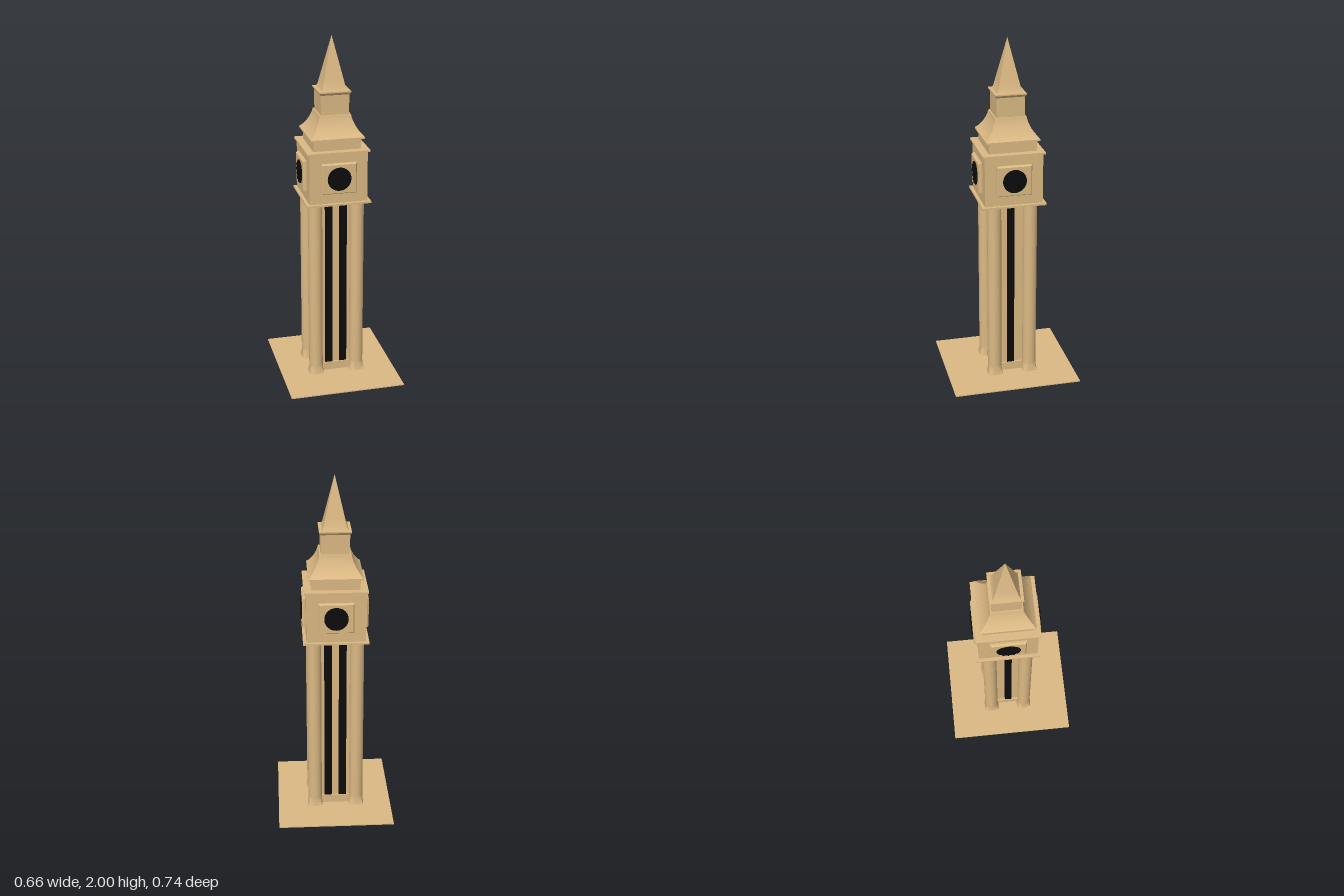
import * as THREE from 'three';
import { toCreasedNormals } from 'three/addons/utils/BufferGeometryUtils.js';

const stone = new THREE.MeshStandardMaterial({ color: 0xdab883 });
const black = new THREE.MeshStandardMaterial({ color: 0x0c0c0c });

function add(parent, name, geometry, material, x = 0, y = 0, z = 0) {
  const mesh = new THREE.Mesh(geometry, material);
  mesh.name = name;
  mesh.position.set(x, y, z);
  parent.add(mesh);
  return mesh;
}

// Box given by half sizes in x and z and by its bottom and top
function block(parent, name, hx, hz, y0, y1, material = stone, x = 0, z = 0) {
  return add(parent, name, new THREE.BoxGeometry(hx * 2, y1 - y0, hz * 2), material, x, (y0 + y1) / 2, z);
}

// Square solid from [half width, y] pairs, listed upwards
function squareSolid(profile) {
  const points = profile.map(([h, y]) => new THREE.Vector2(h * Math.SQRT2, y));
  return toCreasedNormals(new THREE.LatheGeometry(points, 4, Math.PI / 4), 0.5);
}

// Foot that flares from a round column to a square bottom
function footGeometry(radius, half, height) {
  const g = new THREE.CylinderGeometry(radius, radius, height, 32, 8);
  g.translate(0, height / 2, 0);
  const p = g.attributes.position;
  for (let i = 0; i < p.count; i++) {
    const x = p.getX(i), z = p.getZ(i);
    const r = Math.hypot(x, z);
    if (r < 1e-6) continue;
    const t = (1 - p.getY(i) / height) ** 1.5;
    const square = half / Math.max(Math.abs(x), Math.abs(z));
    const s = THREE.MathUtils.lerp(1, square, t);
    p.setX(i, x * s);
    p.setZ(i, z * s);
  }
  return toCreasedNormals(g, 0.6);
}

// Clock face with a bevelled panel, built facing +z
function createClock() {
  const clock = new THREE.Group();
  clock.name = 'clock';
  const panel = squareSolid([[0, 0], [0.1, 0], [0.1, 0.012], [0.093, 0.022], [0, 0.022]]);
  panel.scale(1, 1, 0.88);
  add(clock, 'clockPanel', panel, stone, 0, 0, 0.163).rotation.x = Math.PI / 2;
  const dial = new THREE.CylinderGeometry(0.067, 0.067, 0.006, 40);
  add(clock, 'clockDial', dial, black, 0, 0, 0.185).rotation.x = Math.PI / 2;
  for (let i = 0; i < 12; i++) {
    const a = (i * Math.PI) / 6;
    const mark = new THREE.BoxGeometry(0.01, 0.016, 0.006);
    add(clock, 'hourMark', mark, black, Math.sin(a) * 0.053, Math.cos(a) * 0.053, 0.19).rotation.z = -a;
  }
  for (const [length, angle] of [[0.03, -1], [0.044, 0.5]]) {
    const hand = new THREE.BoxGeometry(0.006, length, 0.005);
    hand.translate(0, length / 2, 0);
    add(clock, 'clockHand', hand, black, 0, 0, 0.19).rotation.z = angle;
  }
  return clock;
}

export function createModel() {
  const model = new THREE.Group();
  model.name = 'clockTower';
  block(model, 'groundPlate', 0.332, 0.37, 0.01, 0.016);

  const tower = new THREE.Group();
  tower.name = 'tower';
  tower.position.set(-0.007, 0, -0.011);
  model.add(tower);

  // Shaft: recessed core, plinth and dark window strips
  block(tower, 'shaftCore', 0.105, 0.095, 0.005, 1.085);
  block(tower, 'shaftPlinth', 0.116, 0.107, 0.005, 0.065);
  for (const x of [-0.041, 0.042]) block(tower, 'windowStrip', 0.022, 0.102, 0.06, 1.085, black, x);
  block(tower, 'sideWindowStrip', 0.112, 0.021, 0.06, 1.085, black, 0, 0.005);

  // Corner columns
  for (const x of [-0.121, 0.121]) {
    for (const z of [-0.104, 0.104]) {
      const column = new THREE.CylinderGeometry(0.04, 0.04, 1.03, 32);
      add(tower, 'cornerColumn', column, stone, x, 0.57, z);
      add(tower, 'columnFoot', footGeometry(0.04, 0.047, 0.065), stone, x, 0, z);
    }
  }

  // Clock chamber with ledges
  block(tower, 'lowerLedge', 0.184, 0.183, 1.08, 1.091);
  block(tower, 'clockChamber', 0.165, 0.165, 1.09, 1.38);
  block(tower, 'upperLedge', 0.178, 0.177, 1.378, 1.388);
  for (let i = 0; i < 4; i++) {
    const clock = createClock();
    clock.position.y = 1.237;
    clock.rotation.y = (i * Math.PI) / 2;
    tower.add(clock);
  }

  // Roof, lantern and spire
  block(tower, 'roofBase', 0.135, 0.135, 1.385, 1.455);
  add(tower, 'curvedRoof', squareSolid([
    [0, 1.448], [0.152, 1.448], [0.152, 1.457], [0.14, 1.468], [0.125, 1.487],
    [0.112, 1.508], [0.1, 1.533], [0.092, 1.555], [0.088, 1.575], [0, 1.575],
  ]), stone);
  block(tower, 'lantern', 0.08, 0.08, 1.57, 1.7);
  add(tower, 'lanternCornice', squareSolid([
    [0, 1.685], [0.08, 1.685], [0.089, 1.698], [0.089, 1.705], [0, 1.708],
  ]), stone);
  add(tower, 'spire', squareSolid([
    [0, 1.703], [0.074, 1.703], [0.064, 1.722], [0.052, 1.775], [0, 2],
  ]), stone);
  return model;
}
